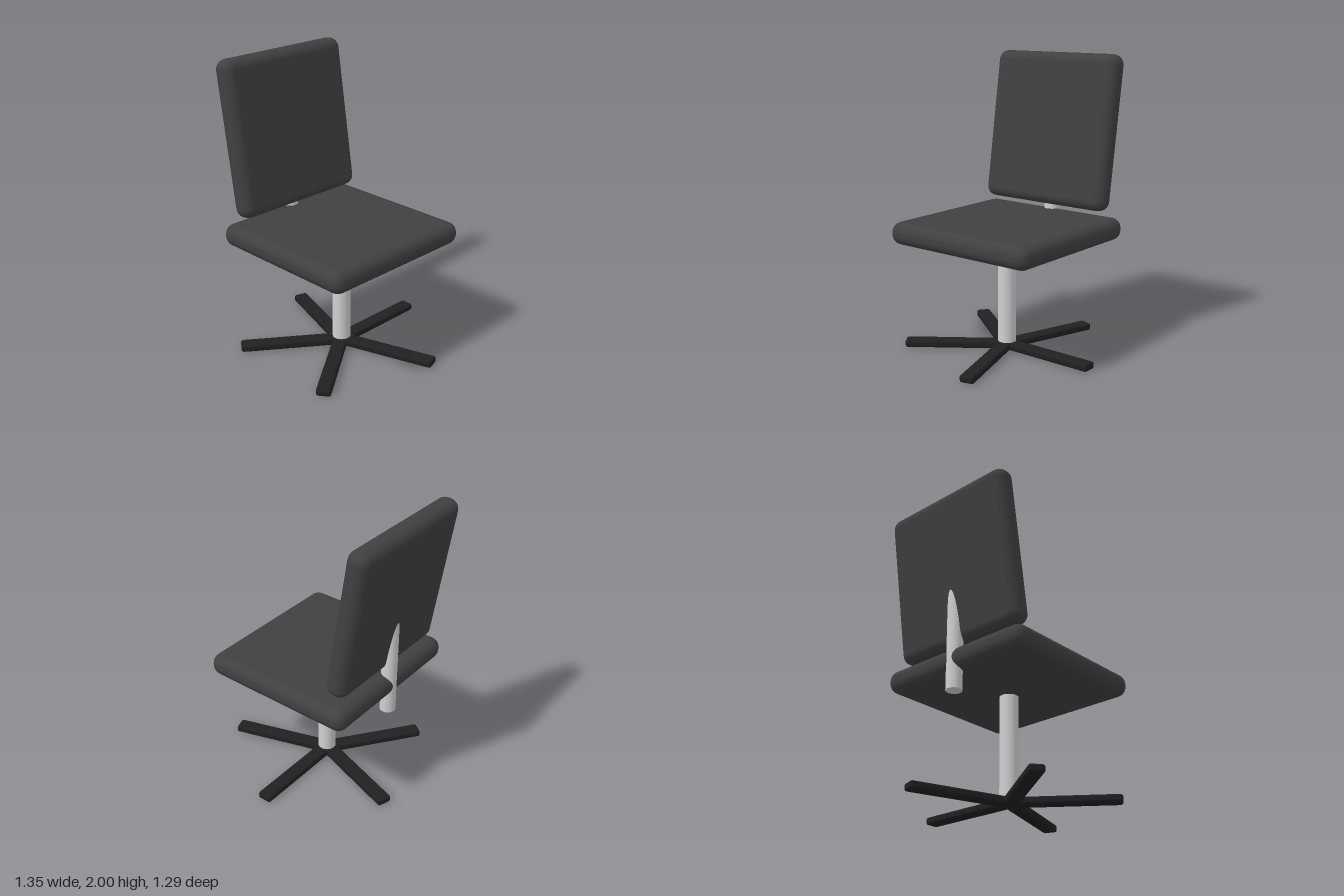
import * as THREE from 'three';
import { RoundedBoxGeometry } from 'three/addons/geometries/RoundedBoxGeometry.js';

const MID_Z = 0.055; // the chair's axis

function material(name, color) {
  const m = new THREE.MeshStandardMaterial({ color });
  m.name = name;
  return m;
}

export function createModel() {
  const chair = new THREE.Group();
  chair.name = 'swivelChair';
  const upholstery = material('charcoal upholstery', 0x404040);
  const plastic = material('black plastic', 0x202020);
  const metal = material('light metal', 0xd0d0d0);

  function add(name, geometry, mat, x, y, z, parent = chair) {
    const mesh = new THREE.Mesh(geometry, mat);
    mesh.name = name;
    mesh.position.set(x, y, z);
    parent.add(mesh);
    return mesh;
  }

  // upright tube between two heights
  function tube(name, radius, bottom, top, x) {
    const geometry = new THREE.CylinderGeometry(radius, radius, top - bottom, 32);
    add(name, geometry, metal, x, (bottom + top) / 2, MID_Z);
  }

  // five-legged star base, one leg pointing to -z
  const base = new THREE.Group();
  base.name = 'starBase';
  base.position.set(0, 0, 0.06);
  chair.add(base);
  const legGeometry = new RoundedBoxGeometry(0.1, 0.05, 0.7, 3, 0.016);
  legGeometry.translate(0, 0, -0.35);
  for (let i = 0; i < 5; i++) {
    add('baseLeg', legGeometry, plastic, 0, 0.025, 0, base).rotation.y = (i * Math.PI * 2) / 5;
  }

  // central column and the backrest's support post
  tube('column', 0.0625, 0.02, 0.735, 0);
  tube('backPost', 0.0525, 0.62, 1.4, -0.51);

  // cushions, the backrest leaning towards -x
  add('seat', new RoundedBoxGeometry(1.11, 0.155, 1.155, 3, 0.07), upholstery, -0.003, 0.828, 0.053);
  const back = add('backrest', new RoundedBoxGeometry(0.155, 1.06, 1.02, 3, 0.07), upholstery, -0.51, 1.475, MID_Z);
  back.rotation.z = THREE.MathUtils.degToRad(8.7);

  return chair;
}
